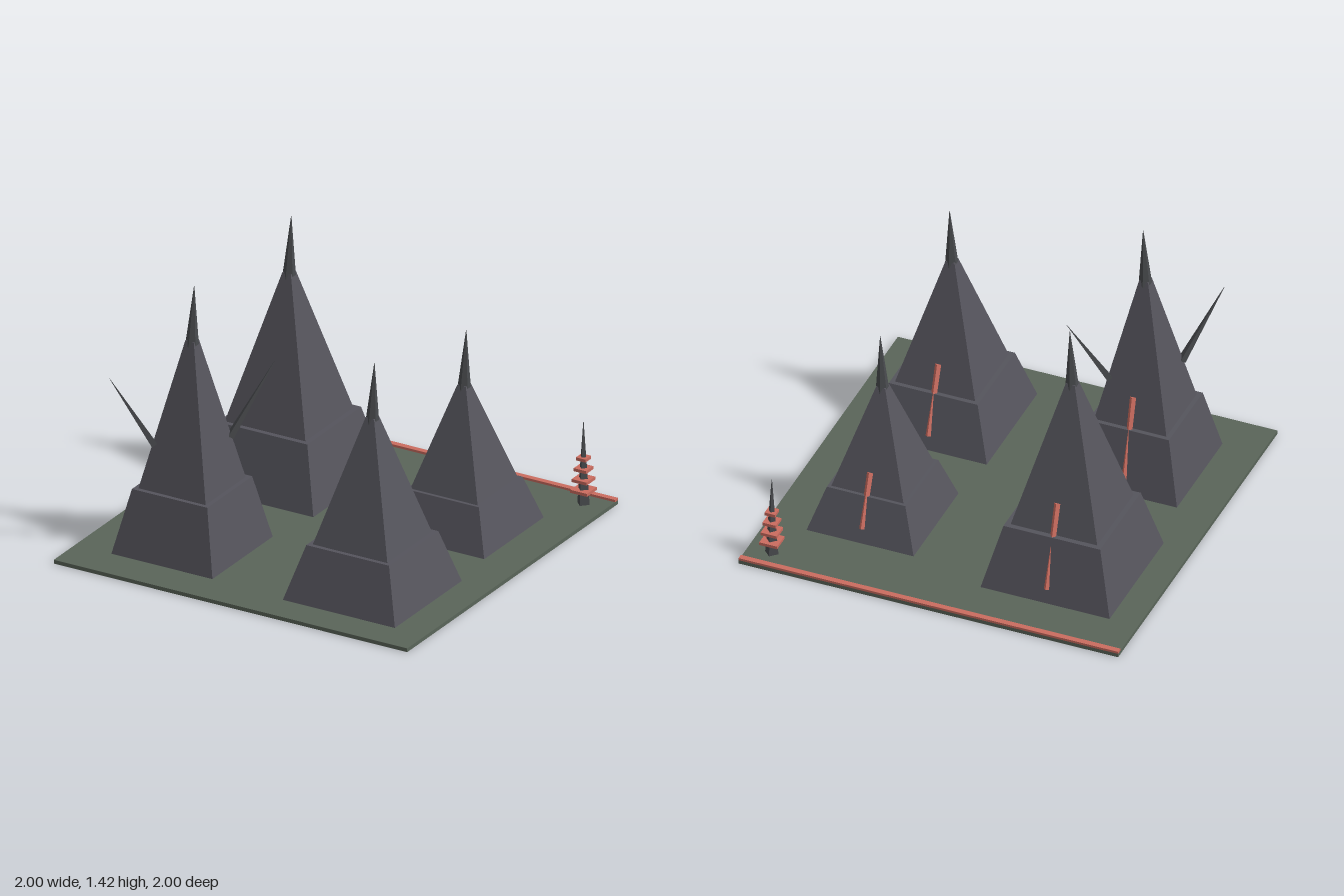
import * as THREE from 'three';

const stone = new THREE.MeshStandardMaterial({ name: 'dark stone', color: 0x55545c, flatShading: true });
const spike = new THREE.MeshStandardMaterial({ name: 'spike iron', color: 0x484a4d, flatShading: true });
const moss = new THREE.MeshStandardMaterial({ name: 'moss ground', color: 0x5a6559, flatShading: true });
const coral = new THREE.MeshStandardMaterial({ name: 'coral red', color: 0xcb6c5f, flatShading: true });

const GROUND = 0.02;

function add(parent, name, geometry, material) {
  const mesh = new THREE.Mesh(geometry, material);
  mesh.name = name;
  parent.add(mesh);
  return mesh;
}

// Square tapered block with axis-aligned sides
function block(parent, name, halfBottom, halfTop, y0, y1, material) {
  const g = new THREE.CylinderGeometry(halfTop * Math.SQRT2, halfBottom * Math.SQRT2, y1 - y0, 4);
  g.rotateY(Math.PI / 4);
  g.translate(0, (y0 + y1) / 2, 0);
  return add(parent, name, g, material);
}

// Straight bar or cone between two points
function rod(parent, name, from, to, r0, r1, sides, material) {
  const a = new THREE.Vector3(...from), b = new THREE.Vector3(...to);
  const dir = b.clone().sub(a);
  const mesh = add(parent, name, new THREE.CylinderGeometry(r1, r0, dir.length(), sides), material);
  mesh.position.copy(a).add(b).multiplyScalar(0.5);
  mesh.quaternion.setFromUnitVectors(new THREE.Vector3(0, 1, 0), dir.normalize());
  return mesh;
}

// Stepped pyramid tower with needle and a red rib on its back
function tower({ name, x, z, base, ledge, upper, step, shoulder, tip }) {
  const group = new THREE.Group();
  group.name = name;
  group.position.set(x, 0, z);
  block(group, 'plinth', base, ledge, GROUND, step, stone);
  block(group, 'roof', upper, 0.024, step, shoulder, stone);
  rod(group, 'needle', [0, shoulder - 0.03, 0], [0.012, tip, 0], 0.034, 0.001, 6, spike);

  const ribTop = shoulder * 0.46;
  const zLow = base - (base - ledge) * (0.09 - GROUND) / (step - GROUND);
  const zHigh = upper - (upper - 0.024) * (ribTop - step) / (shoulder - step);
  rod(group, 'backRib', [0, 0.09, -zLow], [0, ribTop, -zHigh], 0.014, 0.016, 4, coral);
  return group;
}

export function createModel() {
  const model = new THREE.Group();
  model.name = 'spireField';

  // Ground slab and red border along the back
  add(model, 'groundSlab', new THREE.BoxGeometry(2, GROUND, 2), moss).position.y = GROUND / 2;
  add(model, 'backBorder', new THREE.BoxGeometry(2, 0.012, 0.03), coral).position.set(0, 0.026, -0.985);

  // Four towers
  const towers = [
    { name: 'backRightTower', x: -0.51, z: -0.41, base: 0.34, ledge: 0.255, upper: 0.228, step: 0.355, shoulder: 1.12, tip: 1.42 },
    { name: 'backLeftTower', x: 0.51, z: -0.36, base: 0.282, ledge: 0.207, upper: 0.19, step: 0.25, shoulder: 0.78, tip: 1.07 },
    { name: 'frontRightTower', x: -0.51, z: 0.51, base: 0.286, ledge: 0.213, upper: 0.19, step: 0.355, shoulder: 1.12, tip: 1.41 },
    { name: 'frontLeftTower', x: 0.51, z: 0.51, base: 0.317, ledge: 0.234, upper: 0.211, step: 0.3, shoulder: 0.95, tip: 1.24 },
  ].map(tower);
  model.add(...towers);

  // Pair of corner thorns on the front right tower
  for (const s of [1, -1]) {
    rod(towers[2], 'thorn', [s * 0.135, 0.58, -s * 0.135], [s * 0.293, 0.96, -s * 0.293], 0.022, 0.001, 4, spike);
  }

  // Small ringed obelisk in the back corner
  const obelisk = new THREE.Group();
  obelisk.name = 'ringedObelisk';
  obelisk.position.set(0.875, 0, -0.88);
  rod(obelisk, 'obeliskShaft', [0, GROUND, 0], [0, 0.46, 0], 0.035, 0.001, 4, spike);
  [0.047, 0.042, 0.035, 0.027].forEach((half, i) => {
    const y = 0.092 + i * 0.057;
    block(obelisk, 'obeliskRing', half, half, y - 0.008, y + 0.008, coral);
  });
  model.add(obelisk);

  return model;
}
